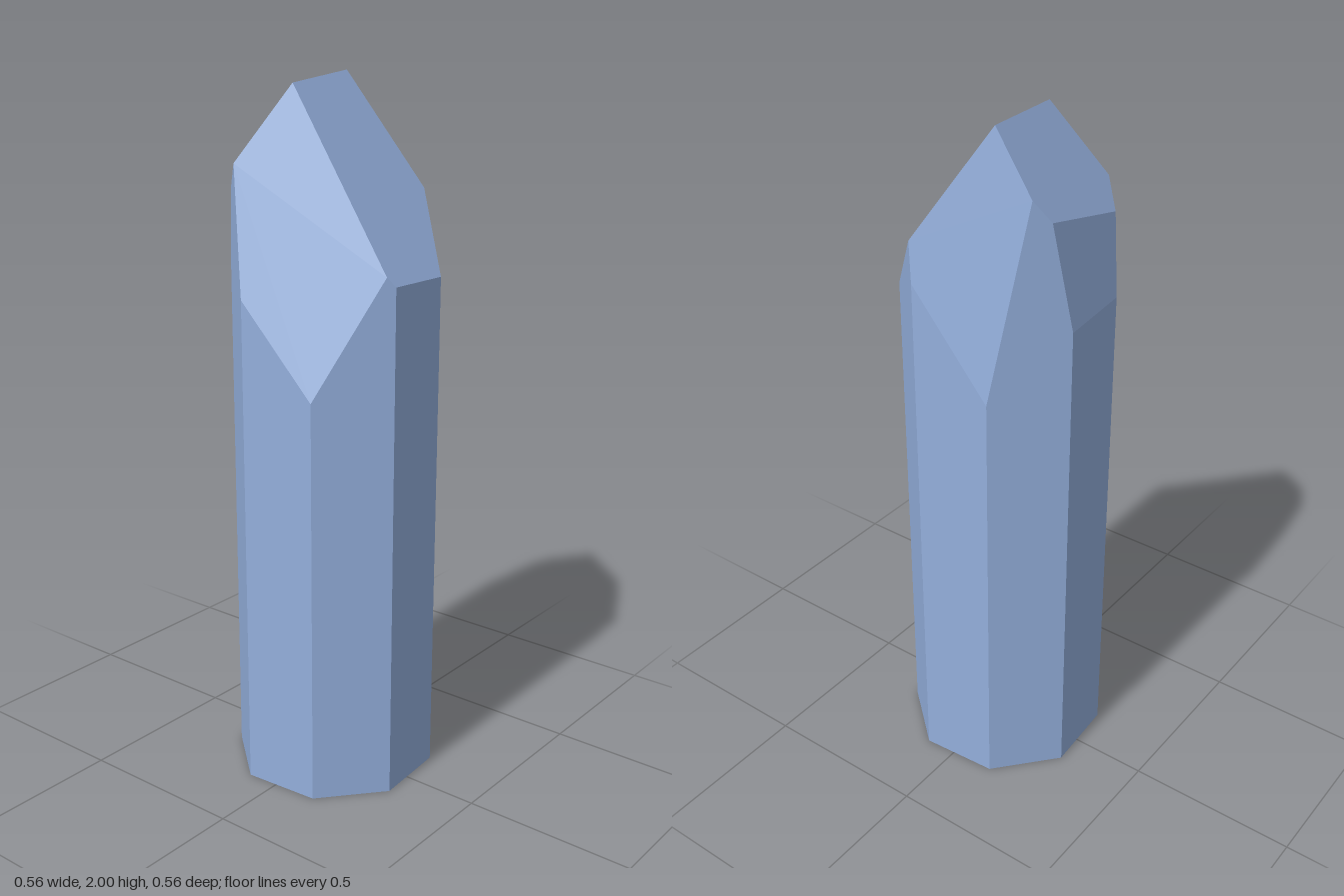
import * as THREE from 'three';

const RADIUS = 0.2945, TURN = 18.6, SIDES = 8;

// Sloping tip facets as planes y = a + b*x + c*z
const TIP = [
  [1.878, -1.472, 0.139],   // large left facet
  [2.233, -1.333, -3.334],  // front facet
  [2.1, 1.518, -0.288],     // upper right facet
  [3.489, 7.39, -0.473],    // steep lower right facet
  [3.6, 1.817, 7.878],      // back facet
];

// Every flat face of the crystal as an outward plane
function crystalPlanes() {
  const planes = [new THREE.Plane(new THREE.Vector3(0, -1, 0), 0)];
  for (let i = 0; i < SIDES; i++) {
    const t = THREE.MathUtils.degToRad(TURN + 22.5 + i * 45);
    planes.push(new THREE.Plane(
      new THREE.Vector3(Math.cos(t), 0, Math.sin(t)), -RADIUS * Math.cos(Math.PI / SIDES)));
  }
  for (const [a, b, c] of TIP) {
    planes.push(new THREE.Plane(new THREE.Vector3(-b, 1, -c), -a).normalize());
  }
  return planes;
}

// Point shared by three planes, or null when they are parallel
function meet(p, q, r) {
  const qr = q.normal.clone().cross(r.normal);
  const det = p.normal.dot(qr);
  if (Math.abs(det) < 1e-6) return null;
  return qr.multiplyScalar(-p.constant)
    .addScaledVector(r.normal.clone().cross(p.normal), -q.constant)
    .addScaledVector(p.normal.clone().cross(q.normal), -r.constant)
    .divideScalar(det);
}

// Solid enclosed by the planes, one flat polygon per plane
function solidFromPlanes(planes) {
  const positions = [], normals = [];
  for (const p of planes) {
    const corners = [];
    for (let i = 0; i < planes.length; i++) {
      for (let j = i + 1; j < planes.length; j++) {
        if (planes[i] === p || planes[j] === p) continue;
        const v = meet(p, planes[i], planes[j]);
        if (!v || planes.some((s) => s.distanceToPoint(v) > 1e-5)) continue;
        if (!corners.some((k) => k.distanceTo(v) < 1e-5)) corners.push(v);
      }
    }
    if (corners.length < 3) continue;

    // Order the corners counter-clockwise as seen from outside
    const mid = new THREE.Vector3();
    corners.forEach((v) => mid.addScaledVector(v, 1 / corners.length));
    const u = corners[0].clone().sub(mid).normalize();
    const w = p.normal.clone().cross(u);
    const angle = (v) => {
      const d = v.clone().sub(mid);
      return Math.atan2(d.dot(w), d.dot(u));
    };
    corners.sort((m, n) => angle(m) - angle(n));

    for (let i = 1; i < corners.length - 1; i++) {
      for (const v of [corners[0], corners[i], corners[i + 1]]) {
        positions.push(v.x, v.y, v.z);
        normals.push(p.normal.x, p.normal.y, p.normal.z);
      }
    }
  }
  const geometry = new THREE.BufferGeometry();
  geometry.setAttribute('position', new THREE.Float32BufferAttribute(positions, 3));
  geometry.setAttribute('normal', new THREE.Float32BufferAttribute(normals, 3));
  return geometry;
}

export function createModel() {
  const blue = new THREE.MeshStandardMaterial({ color: 0x93aedb });
  blue.name = 'crystal blue';
  blue.flatShading = true;

  const group = new THREE.Group();
  group.name = 'crystal';
  const shard = new THREE.Mesh(solidFromPlanes(crystalPlanes()), blue);
  shard.name = 'crystalShard';
  group.add(shard);
  return group;
}
